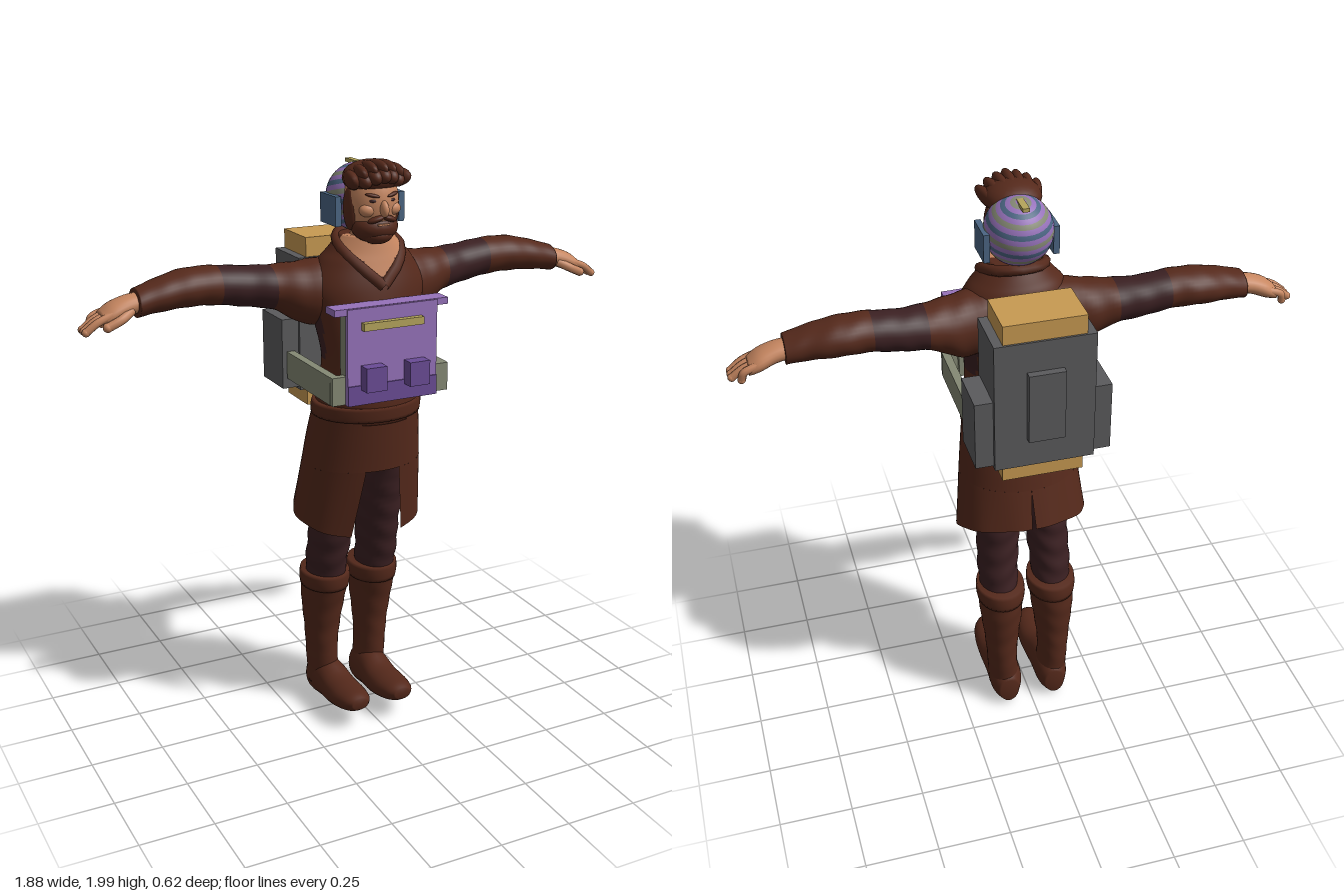
import * as THREE from 'three';

const mat = (name, color, double) => {
  const m = new THREE.MeshStandardMaterial({ color });
  m.name = name;
  if (double) m.side = THREE.DoubleSide;
  return m;
};

export function createModel() {
  const brown = mat('brown leather', 0x55291b, true), maroon = mat('dark maroon cloth', 0x3b2022, true);
  const skin = mat('skin', 0xc68660), purple = mat('purple', 0x9672ba), violet = mat('dark violet', 0x6a4c96);
  const gold = mat('gold', 0xc89a52), grey = mat('grey', 0x5b5b5d), khaki = mat('khaki', 0x858975);
  const blue = mat('slate blue', 0x4c6684), yellow = mat('dull yellow', 0xb5a55c);
  const model = new THREE.Group();
  model.name = 'traveller';

  const add = (name, geo, material, parent = model) => {
    const m = new THREE.Mesh(geo, material);
    m.name = name;
    parent.add(m);
    return m;
  };
  // box given by its x, y and z extents
  const box = (name, m, x0, x1, y0, y1, z0, z1) => {
    const b = add(name, new THREE.BoxGeometry(x1 - x0, y1 - y0, z1 - z0), m);
    b.position.set((x0 + x1) / 2, (y0 + y1) / 2, (z0 + z1) / 2);
    return b;
  };
  const ball = (name, m, p, s, rot = [0, 0, 0], parent = model) => {
    const b = add(name, new THREE.SphereGeometry(1, 20, 14), m, parent);
    b.position.set(...p);
    b.scale.set(...s);
    b.rotation.set(...rot);
    return b;
  };
  const tube = (name, m, pts, r, parent = model) => add(name, new THREE.TubeGeometry(
    new THREE.CatmullRomCurve3(pts.map(p => new THREE.Vector3(...p))), 20, r, 8), m, parent);

  // smooth rows of cross-sections with a Catmull-Rom rule
  const refine = (rows, n) => {
    const out = [];
    for (let i = 0; i < rows.length - 1; i++) {
      const p = [-1, 0, 1, 2].map(k => rows[Math.min(Math.max(i + k, 0), rows.length - 1)]);
      for (let k = 0; k < n; k++) {
        const t = k / n;
        out.push(rows[i].map((_, c) => {
          const [a, b, d, e] = p.map(r => r[c]);
          return b + 0.5 * t * (d - a + t * (2 * a - 5 * b + 4 * d - e + t * (3 * (b - d) + e - a)));
        }));
      }
    }
    out.push(rows[rows.length - 1]);
    return out;
  };
  // loft of ellipses; row = [t, a, b, ra, rb] with (a, t, b) being (x, y, z) for axis y,
  // (z, x, y) for axis x and (y, z, x) for axis z; pick() chooses the material of each quad
  const loft = (name, mats, rows, { axis = 'y', segs = 32, n = 4, fold = 0, pick = () => 0, cap = true } = {}, parent = model) => {
    let rs = refine(rows, n);
    if (cap) {
      const f = rs[0], l = rs[rs.length - 1];
      rs = [[f[0], f[1], f[2], 0, 0], ...rs, [l[0], l[1], l[2], 0, 0]];
    }
    const pos = [], lists = mats.map(() => []);
    for (const [t, a, b, ra, rb] of rs) for (let j = 0; j < segs; j++) {
      const th = j / segs * Math.PI * 2;
      const w = 1 + fold * Math.sin(t * 75 + 2 * Math.sin(th) + Math.cos(th * 2));
      const A = a + Math.max(ra, 0) * w * Math.sin(th), B = b + Math.max(rb, 0) * w * Math.cos(th);
      pos.push(...(axis === 'y' ? [A, t, B] : axis === 'x' ? [t, B, A] : [B, A, t]));
    }
    for (let i = 0; i < rs.length - 1; i++) for (let j = 0; j < segs; j++) {
      const q = [i * segs + j, i * segs + (j + 1) % segs, (i + 1) * segs + (j + 1) % segs, (i + 1) * segs + j];
      const c = [0, 1, 2].map(k => q.reduce((s, v) => s + pos[v * 3 + k], 0) / 4);
      lists[pick(...c)].push(q[0], q[1], q[2], q[0], q[2], q[3]);
    }
    const g = new THREE.BufferGeometry();
    g.setAttribute('position', new THREE.Float32BufferAttribute(pos, 3));
    g.setIndex(lists.flat());
    let start = 0;
    lists.forEach((l, i) => { g.addGroup(start, l.length, i); start += l.length; });
    g.computeVertexNormals();
    return add(name, g, mats, parent);
  };

  // coat body with open neck
  loft('coatBody', [brown, skin, maroon], [
    [1.14, 0, .07, .175, .155], [1.22, 0, .08, .175, .15], [1.35, 0, .095, .165, .125], [1.48, 0, .075, .185, .135],
    [1.58, 0, .06, .205, .135], [1.66, 0, .06, .165, .115], [1.7, 0, .065, .13, .1], [1.75, -.005, .075, .085, .08],
  ], { segs: 72, n: 6, pick: (x, y, z) => z > .08 && y > 1.61 + Math.abs(x) * 1.05 ? 1
    : Math.abs(x) > .14 && y > 1.36 && y < 1.52 && z < .11 ? 2 : 0 });
  tube('collarRoll', brown, [[0, 1.595, .195], [.065, 1.655, .165], [.105, 1.71, .1], [.075, 1.74, .01], [0, 1.75, -.02],
    [-.075, 1.74, .01], [-.105, 1.71, .1], [-.065, 1.655, .165], [0, 1.595, .195]], .018);
  loft('waistBelt', [brown], [[1.15, 0, .068, .188, .163], [1.175, 0, .07, .19, .165], [1.2, 0, .075, .186, .162]], { n: 2 });

  // coat skirt: closed top, then two panels with a front opening and a back slit
  loft('skirtTop', [brown], [[.97, 0, .032, .208, .172], [1.08, 0, .05, .195, .167], [1.2, 0, .075, .178, .155]], { segs: 48, cap: false });
  for (const s of [1, -1]) {
    const pos = [], idx = [], U = 24, V = 8;
    for (let i = 0; i <= V; i++) for (let j = 0; j <= U; j++) {
      const v = i / V, a0 = .3 + .13 * v;
      const th = a0 + (Math.PI - .03 * v - a0) * j / U;
      const hem = .775 - .055 * Math.cos(th);
      const r = 1 + .012 * v * Math.sin(th * 9);
      pos.push(s * (.208 + .022 * v) * r * Math.sin(th), .97 + (hem - .97) * v, .032 - .035 * v + .172 * r * Math.cos(th));
      if (i < V && j < U) {
        const a = i * (U + 1) + j, b = a + U + 1;
        idx.push(...(s > 0 ? [a, b, b + 1, a, b + 1, a + 1] : [a, b + 1, b, a, a + 1, b + 1]));
      }
    }
    const g = new THREE.BufferGeometry();
    g.setAttribute('position', new THREE.Float32BufferAttribute(pos, 3));
    g.setIndex(idx);
    g.computeVertexNormals();
    add('skirtPanel', g, brown);
  }

  // limbs, built on the left side and mirrored
  for (const s of [1, -1]) {
    const side = new THREE.Group();
    side.name = s > 0 ? 'leftLimbs' : 'rightLimbs';
    side.scale.x = s;
    model.add(side);
    loft('sleeve', [brown, maroon], [
      [.08, .035, 1.57, .1, .11], [.2, .02, 1.56, .1, .105], [.3, 0, 1.583, .085, .074], [.4, -.015, 1.594, .073, .066],
      [.5, -.017, 1.607, .073, .063], [.6, -.02, 1.607, .078, .06], [.7, -.01, 1.593, .066, .051], [.76, -.006, 1.58, .06, .045],
    ], { axis: 'x', n: 8, fold: .015, pick: x => x > .31 && x < .49 ? 1 : 0 }, side);
    loft('palm', [skin], [
      [.74, -.006, 1.583, .04, .032], [.79, -.006, 1.575, .045, .033], [.84, -.008, 1.557, .052, .033], [.875, -.008, 1.54, .046, .024],
    ], { axis: 'x', segs: 20 }, side);
    for (let f = 0; f < 4; f++) {
      const z = -.045 + f * .025, e = f === 0 ? .9 : .928;
      tube('finger', skin, [[.84, 1.56, z], [.89, 1.54, z], [e, 1.512, z * .85]], .013, side);
      ball('fingertip', skin, [e, 1.512, z * .85], [.013, .013, .013], undefined, side);
    }
    tube('thumb', skin, [[.78, 1.565, .025], [.82, 1.545, .045], [.865, 1.525, .045]], .015, side);
    ball('thumbTip', skin, [.865, 1.525, .045], [.015, .015, .015], undefined, side);

    loft('trouserLeg', [maroon], [
      [.46, .095, -.065, .065, .08], [.58, .097, -.042, .07, .085], [.7, .09, -.02, .074, .09], [.85, .083, .005, .08, .1], [1.05, .08, .05, .08, .1],
    ], { n: 8, fold: .03 }, side);
    loft('bootShaft', [brown], [
      [.07, .09, -.09, .056, .066], [.2, .097, -.09, .054, .073], [.3, .097, -.087, .062, .075],
      [.4, .096, -.08, .074, .088], [.48, .094, -.068, .08, .1], [.525, .094, -.063, .083, .102],
    ], { n: 6, fold: .012 }, side);
    loft('bootCuff', [brown], [[.47, .094, -.068, .083, .102], [.5, .094, -.066, .087, .106], [.53, .094, -.063, .084, .103]], { n: 2 }, side);
    // foot with a dark sole
    loft('foot', [brown, maroon], [
      [-.165, .07, .088, .05, .035], [-.12, .085, .088, .08, .057], [-.04, .092, .086, .076, .06], [.04, .086, .084, .058, .064],
      [.11, .092, .084, .047, .064], [.17, .1, .084, .036, .052], [.203, .105, .084, .02, .03],
    ], { axis: 'z', segs: 28, pick: (x, y, z) => y < .022 + Math.max(0, z + .05) * .22 ? 1 : 0 }, side);
  }

  // head and face
  const cx = -.01;
  loft('neck', [skin], [[1.64, cx, .1, .065, .065], [1.72, cx, .1, .058, .06], [1.8, cx, .11, .06, .06]]);
  ball('skull', skin, [cx, 1.86, .122], [.088, .122, .093]);
  ball('nose', skin, [cx, 1.845, .215], [.014, .027, .02], [-.3, 0, 0]);
  ball('beard', brown, [cx, 1.78, .148], [.078, .05, .066]);
  ball('chinBeard', brown, [cx, 1.757, .168], [.052, .03, .042]);
  box('mouth', skin, cx - .02, cx + .02, 1.792, 1.798, .209, .216);
  for (const s of [1, -1]) {
    ball('moustache', brown, [cx + s * .024, 1.812, .205], [.028, .01, .016], [0, s * .3, -s * .3]);
    ball('eyebrow', brown, [cx + s * .035, 1.887, .203], [.024, .006, .008], [0, s * .35, s * .2]);
    ball('eye', maroon, [cx + s * .034, 1.87, .204], [.012, .005, .005], [0, s * .35, 0]);
    ball('cheek', skin, [cx + s * .042, 1.84, .185], [.03, .022, .022]);
    ball('sideburn', brown, [cx + s * .074, 1.84, .125], [.019, .07, .035]);
  }
  // swept-back hair
  ball('hairCap', brown, [cx, 1.933, .125], [.094, .055, .092]);
  for (let i = -3; i <= 3; i++) {
    ball('hairLock', brown, [cx + i * .025, 1.96 - i * i * .0035, .15 - Math.abs(i) * .005], [.022, .033, .083 - Math.abs(i) * .003], [-.12, i * .1, -i * .12]);
  }
  for (let i = -2; i <= 2; i++) ball('quiff', brown, [cx + i * .028, 1.948 - i * i * .004, .208 - i * i * .005], [.023, .024, .032], [.3, 0, -i * .15]);

  // striped cap on the back of the head, with ear boxes and crest
  const bands = 21, stripe = [purple, khaki, purple, blue];
  for (let i = 0; i < bands; i++) {
    const band = add('capStripe', new THREE.SphereGeometry(.112, 32, 1, 0, Math.PI * 2, i * Math.PI / bands, Math.PI / bands), stripe[i % 4]);
    band.position.set(-.005, 1.858, .038);
    band.rotation.x = -.25;
  }
  for (const s of [1, -1]) box('earBox', blue, -.004 + s * .113 - .01, -.004 + s * .113 + .01, 1.78, 1.875, -.005, .108);
  box('crest', yellow, -.016, .006, 1.958, 1.97, -.05, .025);

  // chest plate
  box('plateBacking', khaki, -.16, .158, 1.245, 1.545, .205, .25);
  box('chestPlate', purple, -.163, .158, 1.235, 1.55, .25, .265);
  box('plateFoot', violet, -.163, .158, 1.235, 1.3, .265, .27);
  box('plateFlange', purple, -.205, .2, 1.53, 1.552, .195, .26);
  box('plateBar', yellow, -.115, .1, 1.48, 1.505, .265, .285);
  for (const x of [-.08, .075]) box('platePouch', violet, x - .036, x + .036, 1.285, 1.365, .265, .308);

  // side straps
  for (const s of [1, -1]) {
    box('sideStrap', khaki, s * .197 - .014, s * .197 + .014, 1.237, 1.33, -.1, .235);
    box('strapEnd', khaki, s * .18 - .03, s * .18 + .03, 1.237, 1.33, .225, .25);
  }

  // backpack
  box('packBody', grey, -.165, .165, 1.19, 1.645, -.285, -.095);
  box('packPanel', grey, -.06, .06, 1.295, 1.54, -.31, -.28);
  box('packTop', gold, -.135, .135, 1.64, 1.71, -.278, -.103);
  box('packBottom', gold, -.135, .135, 1.13, 1.195, -.265, -.105);
  for (const s of [1, -1]) box('packPouch', grey, s * .19 - .035, s * .19 + .035, 1.2, 1.44, -.27, -.105);

  return model;
}
